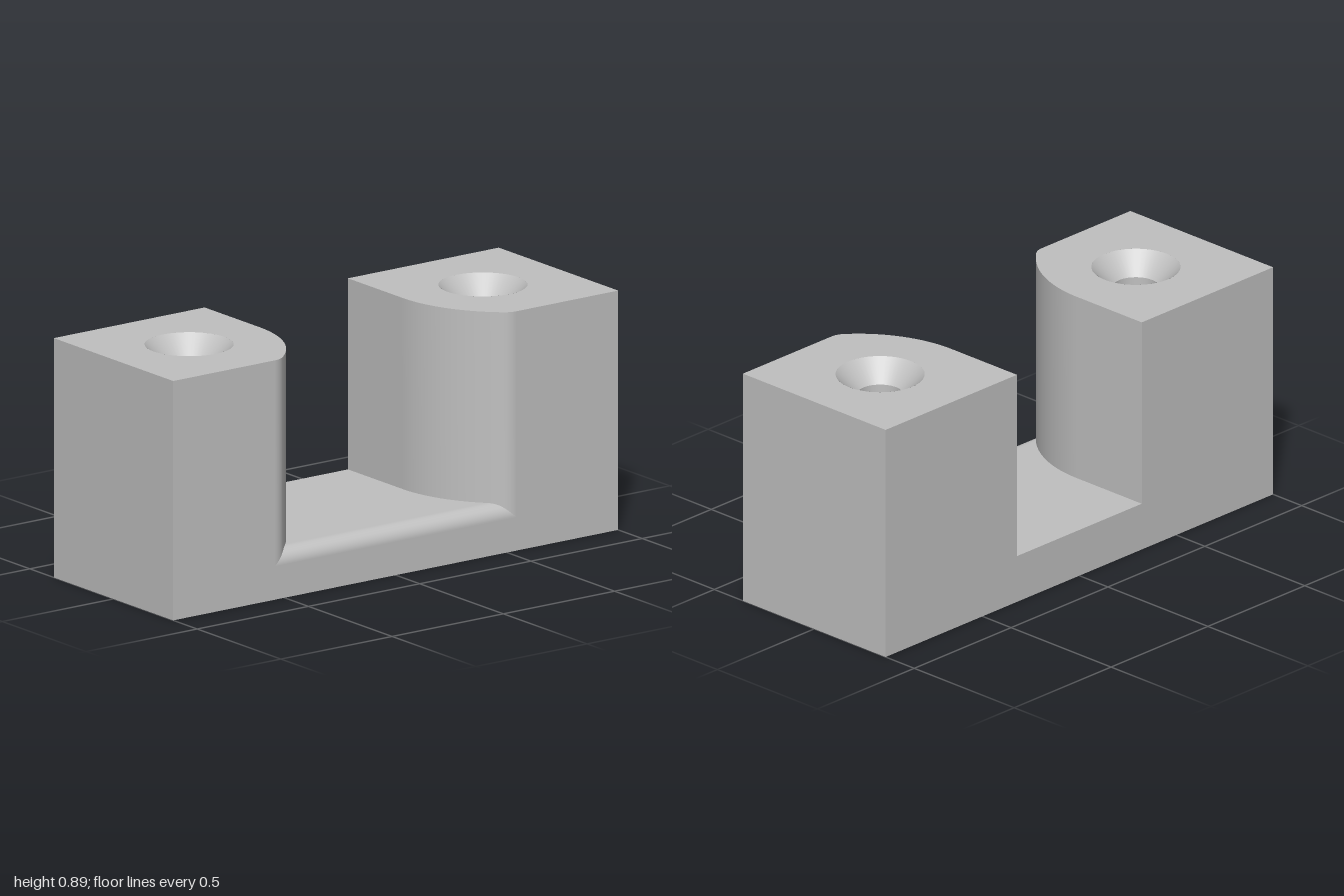
import * as THREE from 'three';

const W = 1, D = 0.357, H = 0.893;          // half width, half depth, height
const FLOOR = 0.18, SLOT = 0.322;           // slot floor height and half width
const EDGE = 0.055;                         // rounding of the floor's front edge
const HOLE_X = 0.66, HOLE_R = 0.083, SINK_R = 0.16, SINK_Y = 0.815;
const SEG = 48;

// Plan of the slot wall on the +x side, from back to front, as [x, z]
function wallPlan() {
  const R = 0.48, z0 = -0.03, r = 0.0725, cx = SLOT + R;
  const end = Math.asin((D - r - z0) / (R - r));
  const fx = cx - (R - r) * Math.cos(end), fz = D - r;
  const pts = [[SLOT, -D]];
  for (let i = 0; i <= 40; i++) {
    const a = end * i / 40;
    pts.push([cx - R * Math.cos(a), z0 + R * Math.sin(a)]);
  }
  for (let i = 1; i <= 12; i++) {
    const a = end + (Math.PI / 2 - end) * i / 12;
    pts.push([fx - r * Math.cos(a), fz + r * Math.sin(a)]);
  }
  return pts;
}

// Floor height at depth z, falling in a quarter round at the front
function floorY(z) {
  const d = Math.min(EDGE, Math.max(0, z - (D - EDGE)));
  return FLOOR - EDGE + Math.sqrt(EDGE * EDGE - d * d);
}

// Smooth strip of quads between two rows of points
function ribbon(rowA, rowB) {
  const pos = [], index = [];
  rowA.forEach((a, i) => {
    pos.push(...a, ...rowB[i]);
    if (i) {
      const k = 2 * i - 2;
      index.push(k, k + 1, k + 3, k, k + 3, k + 2);
    }
  });
  const g = new THREE.BufferGeometry();
  g.setAttribute('position', new THREE.Float32BufferAttribute(pos, 3));
  g.setIndex(index);
  g.computeVertexNormals();
  return g;
}

function outline(points) {
  return new THREE.Shape(points.map(([x, y]) => new THREE.Vector2(x, y)));
}

function addHole(shape, x, r) {
  const p = new THREE.Path();
  p.absarc(x, 0, r, 0, Math.PI * 2, true);
  shape.holes.push(p);
}

// U-shaped upright face with a notch
function notchedFace(halfNotch, notchY) {
  return new THREE.ShapeGeometry(outline([
    [-W, 0], [W, 0], [W, H], [halfNotch, H], [halfNotch, notchY],
    [-halfNotch, notchY], [-halfNotch, H], [-W, H],
  ]));
}

export function createModel() {
  const model = new THREE.Group();
  model.name = 'mountingBlock';
  const grey = new THREE.MeshStandardMaterial({ color: 0xc0c0c0, side: THREE.DoubleSide });
  grey.name = 'grey';
  const add = (name, geometry, parent = model) => {
    const mesh = new THREE.Mesh(geometry, grey);
    mesh.name = name;
    parent.add(mesh);
    return mesh;
  };

  const plan = wallPlan();
  const frontX = plan[plan.length - 1][0];

  // Front and back faces
  add('frontFace', notchedFace(frontX, FLOOR - EDGE)).position.z = D;
  add('backFace', notchedFace(SLOT, FLOOR).rotateY(Math.PI)).position.z = -D;

  // Underside with the two screw holes
  const base = outline([[-W, -D], [W, -D], [W, D], [-W, D]]);
  addHole(base, HOLE_X, HOLE_R);
  addHole(base, -HOLE_X, HOLE_R);
  add('underside', new THREE.ShapeGeometry(base, SEG).rotateX(Math.PI / 2));

  // Slot floor: flat part, then the flared part with its rounded front
  const zs = plan.filter(([, z]) => z <= D - EDGE);
  const row = (list, s) => list.map(([x, z]) => [s * x, floorY(z), z]);
  add('slotFloor', ribbon(row(zs, 1), row(zs, -1)));
  const lip = plan.slice(zs.length - 1);
  add('floorLip', ribbon(row(lip, 1), row(lip, -1)));

  // Two mirrored posts
  for (const s of [1, -1]) {
    const post = new THREE.Group();
    post.name = s > 0 ? 'leftPost' : 'rightPost';
    model.add(post);

    const top = outline([[s * W, D], [s * W, -D], ...plan.slice().reverse().map(([x, z]) => [s * x, -z])]);
    addHole(top, s * HOLE_X, SINK_R);
    add('postTop', new THREE.ShapeGeometry(top, SEG).rotateX(-Math.PI / 2), post).position.y = H;

    const path = s > 0 ? plan : plan.slice().reverse();
    add('slotWall', ribbon(
      path.map(([x, z]) => [s * x, H, z]),
      path.map(([x, z]) => [s * x, floorY(z), z])), post);

    add('outerSide', new THREE.PlaneGeometry(2 * D, H).rotateY(s * Math.PI / 2), post)
      .position.set(s * W, H / 2, 0);

    // Screw hole and its countersink
    add('screwHole', new THREE.CylinderGeometry(HOLE_R, HOLE_R, SINK_Y, SEG, 1, true), post)
      .position.set(s * HOLE_X, SINK_Y / 2, 0);
    add('countersink', new THREE.CylinderGeometry(SINK_R, HOLE_R, H - SINK_Y, SEG, 1, true), post)
      .position.set(s * HOLE_X, (H + SINK_Y) / 2, 0);
  }
  return model;
}
